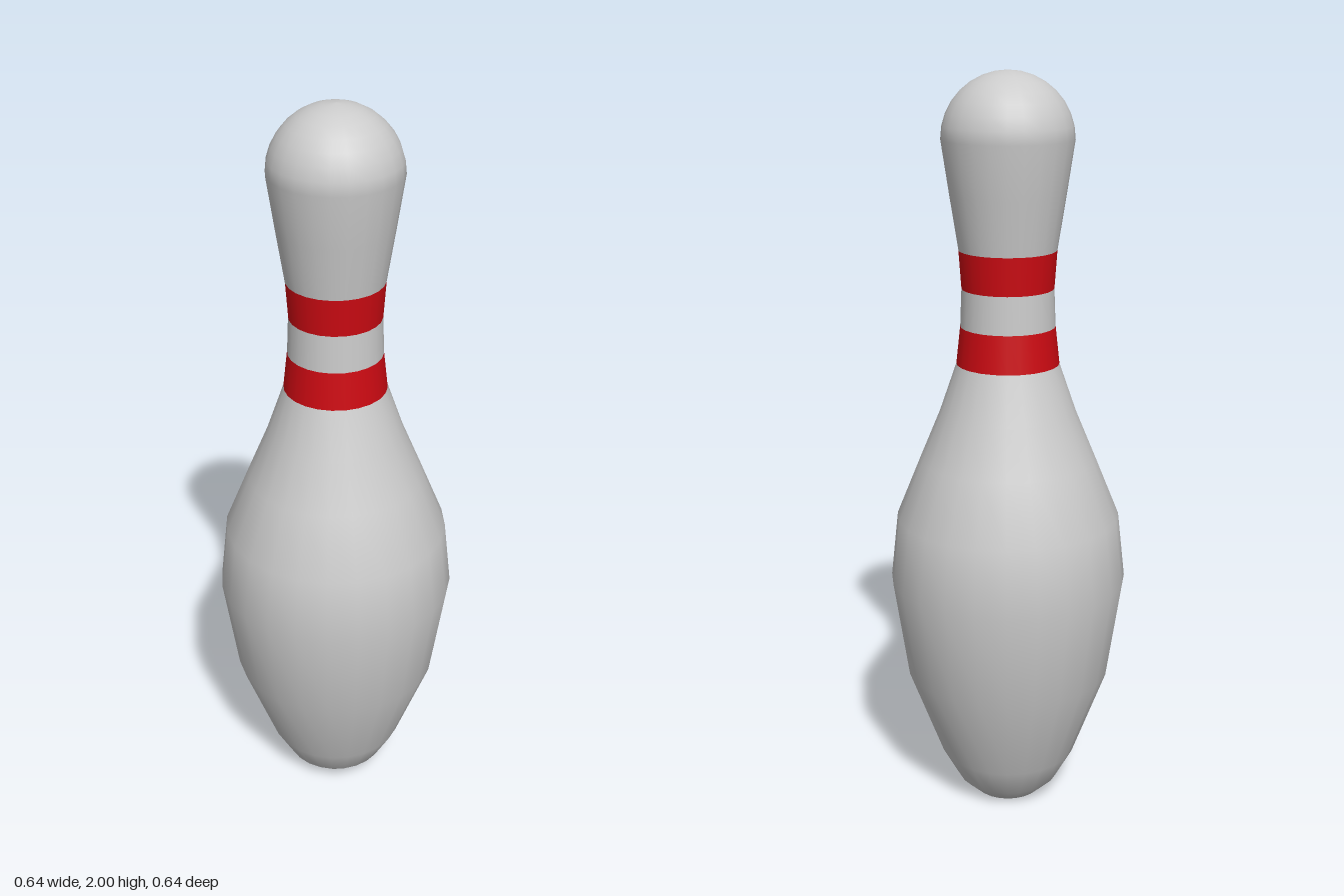
import * as THREE from 'three';

const SIDES = 24;

export function createModel() {
  const group = new THREE.Group();
  const grey = new THREE.MeshStandardMaterial({ color: 0xcccccc });
  const red = new THREE.MeshStandardMaterial({ color: 0xcc0a12 });

  // Turns a profile of [radius, height] pairs, listed from bottom to top
  const turn = (name, profile, material) => {
    const points = profile.map(([r, y]) => new THREE.Vector2(r, y));
    const mesh = new THREE.Mesh(new THREE.LatheGeometry(points, SIDES), material);
    mesh.name = name;
    group.add(mesh);
  };

  // Belly with its small flat foot
  turn('body', [
    [0, 0], [0.092, 0], [0.14, 0.045], [0.187, 0.13], [0.28, 0.38], [0.32, 0.65],
    [0.3, 0.83], [0.235, 0.99], [0.181, 1.12], [0.136, 1.25],
  ], grey);

  // Two red stripes around the neck
  turn('lowerStripe', [[0.136, 1.25], [0.125, 1.35]], red);
  turn('neck', [[0.125, 1.35], [0.121, 1.45]], grey);
  turn('upperStripe', [[0.121, 1.45], [0.128, 1.55]], red);

  // Flaring upper neck and domed head
  const head = [[0.128, 1.55], [0.15, 1.69]];
  const steps = 8;
  for (let i = 0; i <= steps; i++) {
    const a = (i / steps) * Math.PI / 2;
    head.push([i === steps ? 0 : 0.171 * Math.cos(a), 1.83 + 0.17 * Math.sin(a)]);
  }
  turn('head', head, grey);

  return group;
}
